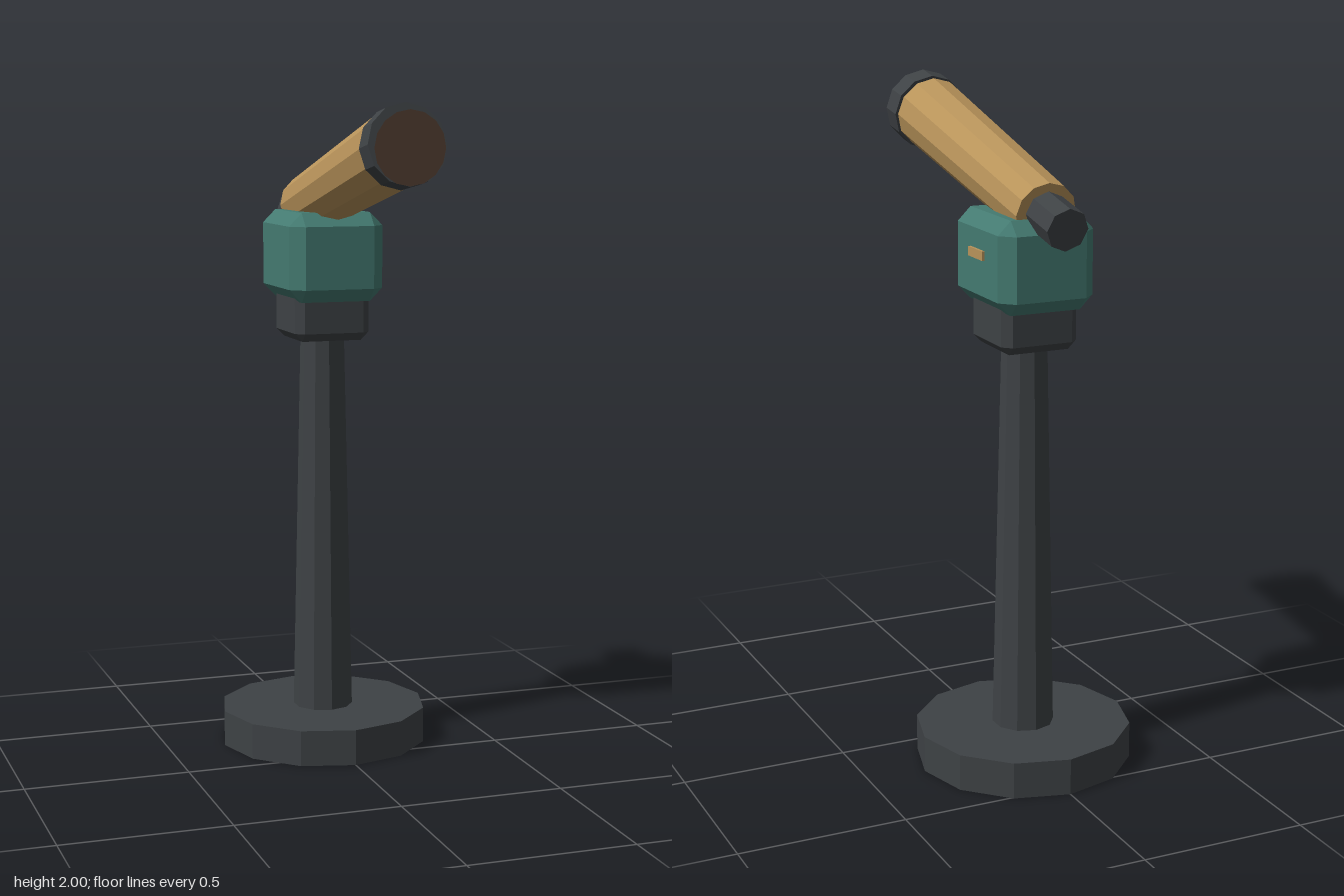
import * as THREE from 'three';
import { ConvexGeometry } from 'three/addons/geometries/ConvexGeometry.js';

const paint = (color) => new THREE.MeshStandardMaterial({ color, flatShading: true });

// Box with all edges cut at 45 degrees
function chamferedBox(w, h, d, c) {
  const half = [w / 2, h / 2, d / 2];
  const points = [];
  for (const sx of [-1, 1]) for (const sy of [-1, 1]) for (const sz of [-1, 1]) {
    for (let axis = 0; axis < 3; axis++) {
      const p = half.map((v, i) => (i === axis ? v : v - c));
      points.push(new THREE.Vector3(sx * p[0], sy * p[1], sz * p[2]));
    }
  }
  return new ConvexGeometry(points);
}

export function createModel() {
  const model = new THREE.Group();
  const dark = paint(0x3e4245);
  const brass = paint(0xb8935a);
  const teal = paint(0x447a71);
  const glass = paint(0x543f33);
  glass.side = THREE.DoubleSide;
  const standZ = -0.226;

  function add(name, geometry, material, x, y, z) {
    const mesh = new THREE.Mesh(geometry, material);
    mesh.name = name;
    mesh.position.set(x, y, z);
    model.add(mesh);
    return mesh;
  }

  // Cylinder pointing forward, with its front end raised by tilt
  function barrel(name, rFront, rBack, length, sides, material, y, z, tilt) {
    const mesh = add(name, new THREE.CylinderGeometry(rFront, rBack, length, sides), material, 0, y, z);
    mesh.rotation.x = Math.PI / 2 - tilt;
  }

  // Stand
  add('base', new THREE.CylinderGeometry(0.324, 0.324, 0.11, 12), dark, 0, 0.055, standZ);
  add('post', new THREE.CylinderGeometry(0.067, 0.093, 1.22, 10), dark, 0, 0.7, standZ);
  add('collar', chamferedBox(0.237, 0.17, 0.24, 0.025), dark, 0, 1.363, standZ);

  // Mount head with a small plate on its left side
  add('head', chamferedBox(0.297, 0.27, 0.352, 0.04), teal, 0, 1.536, standZ);
  add('plate', new THREE.BoxGeometry(0.02, 0.027, 0.094), brass, 0.147, 1.56, -0.228);

  // Telescope
  barrel('tube', 0.11, 0.0925, 0.833, 12, brass, 1.778, 0.0435, 0.232);
  barrel('frontRing', 0.116, 0.116, 0.074, 12, dark, 1.879, 0.491, 0.17);
  barrel('eyepiece', 0.063, 0.063, 0.17, 8, dark, 1.676, -0.414, 0.21);
  add('lens', new THREE.CircleGeometry(0.104, 16), glass, 0, 1.876, 0.548);

  return model;
}
